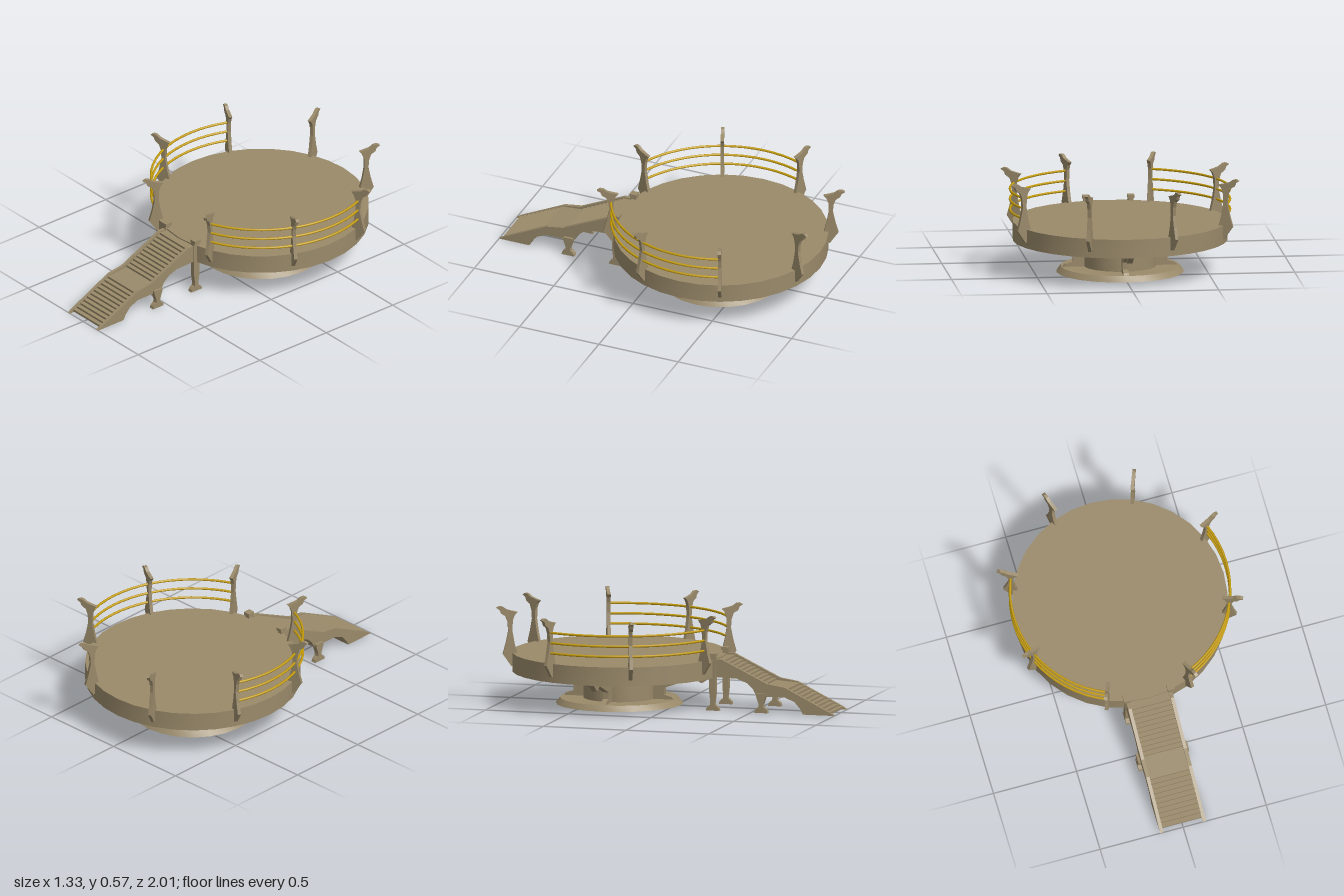
import * as THREE from 'three';
import { toCreasedNormals } from 'three/addons/utils/BufferGeometryUtils.js';

const stone = new THREE.MeshStandardMaterial({ color: 0x9a8a6a });
stone.name = 'sandstone';
const gold = new THREE.MeshStandardMaterial({ color: 0xc49c0c });
gold.name = 'gold';

// Flat outline extruded and centred on its thickness
function slab(points, thickness) {
  const shape = new THREE.Shape(points.map(([a, b]) => new THREE.Vector2(a, b)));
  const geo = new THREE.ExtrudeGeometry(shape, { depth: thickness, bevelEnabled: false });
  return geo.translate(0, 0, -thickness / 2);
}

// Outline drawn in (z, y), thickness along x
const sideSlab = (points, thickness) => slab(points, thickness).rotateY(-Math.PI / 2);

function add(parent, name, geo, material = stone) {
  const mesh = new THREE.Mesh(geo, material);
  mesh.name = name;
  parent.add(mesh);
  return mesh;
}

function createPlatform() {
  const platform = new THREE.Group();
  platform.name = 'platform';
  platform.position.z = -0.34;

  const deck = new THREE.CylinderGeometry(0.624, 0.624, 0.11, 32).translate(0, 0.245, 0);
  add(platform, 'deck', toCreasedNormals(deck, 0.5));

  // Hollow column on a flared foot ring
  const profile = [[0.2, 0], [0.37, 0], [0.345, 0.033], [0.21, 0.033], [0.21, 0.192], [0.2, 0.192], [0.2, 0]];
  const pedestal = new THREE.LatheGeometry(profile.map(([r, y]) => new THREE.Vector2(r, y)), 24);
  add(platform, 'pedestal', toCreasedNormals(pedestal, 0.5));

  // Four brackets under the deck
  const bracket = slab([
    [0.2, 0.03], [0.335, 0.03], [0.32, 0.048], [0.275, 0.06], [0.275, 0.1],
    [0.45, 0.162], [0.5, 0.137], [0.578, 0.185], [0.578, 0.193], [0.2, 0.193],
  ], 0.032);
  for (let i = 0; i < 4; i++) {
    add(platform, 'bracket', bracket).rotation.y = i * Math.PI / 2;
  }

  // Eight carved posts with hooked tips
  const post = slab([
    [0.595, 0.295], [0.62, 0.295], [0.62, 0.225], [0.632, 0.225], [0.68, 0.295],
    [0.662, 0.36], [0.648, 0.43], [0.652, 0.48], [0.664, 0.515], [0.69, 0.532],
    [0.698, 0.553], [0.718, 0.565], [0.7, 0.575], [0.68, 0.572], [0.658, 0.556],
    [0.63, 0.548], [0.595, 0.54], [0.612, 0.52], [0.622, 0.49], [0.624, 0.43], [0.612, 0.36],
  ], 0.02);
  for (let i = 0; i < 8; i++) {
    add(platform, 'railPost', post).rotation.y = (i + 0.5) * Math.PI / 4;
  }

  // Three curved rails on each side, from the front post to the rear side post
  for (const side of [1, -1]) {
    for (const y of [0.365, 0.425, 0.485]) {
      const points = [];
      for (let i = 0; i <= 12; i++) {
        const a = Math.PI / 8 + (i / 12) * Math.PI / 2;
        points.push(new THREE.Vector3(side * 0.638 * Math.sin(a), y, 0.638 * Math.cos(a)));
      }
      const path = new THREE.CatmullRomCurve3(points);
      add(platform, 'rail', new THREE.TubeGeometry(path, 16, 0.007, 8), gold);
    }
  }
  return platform;
}

function createRamp() {
  const ramp = new THREE.Group();
  ramp.name = 'ramp';

  // Arched underside shared by the side boards and the stair core
  const arch = [
    [0.81, 0], [0.795, 0.03], [0.76, 0.07], [0.7, 0.095], [0.53, 0.095],
    [0.505, 0.14], [0.47, 0.17], [0.41, 0.193], [0.26, 0.197],
  ];

  // Side boards
  const board = sideSlab([
    [0.26, 0.3], [0.32, 0.3], [0.595, 0.168], [0.7, 0.152], [0.97, 0.018], [1, 0], ...arch,
  ], 0.02);
  for (const side of [1, -1]) add(ramp, 'sideBoard', board).position.x = side * 0.128;

  // Stair core: two flights of steps and a landing
  const steps = [[0.26, 0.292]];
  const flight = (z0, y0, z1, y1, n) => {
    for (let i = 0; i < n; i++) {
      const z = z0 + (z1 - z0) * (i + 1) / n;
      steps.push([z, y0 + (y1 - y0) * i / n], [z, y0 + (y1 - y0) * (i + 1) / n]);
    }
  };
  flight(0.3, 0.292, 0.575, 0.155, 11);
  flight(0.69, 0.145, 0.975, 0.006, 11);
  add(ramp, 'stairs', sideSlab([...steps, [0.965, 0], [0.83, 0.055], ...arch], 0.238));

  // Legs with clawed feet; the rear pair rises into newel posts
  const legOutline = (top, half) => {
    const right = [
      [0.04, 0], [0.036, 0.016], [0.022, 0.03], [0.015, 0.032], [0.013, 0.05], [half, 0.1], [half, top],
    ];
    return [...right, ...right.map(([z, y]) => [-z, y]).reverse()];
  };
  const frontLeg = sideSlab(legOutline(0.115, 0.03), 0.03);
  const rearLeg = sideSlab(legOutline(0.318, 0.019), 0.028);
  const cap = new THREE.BoxGeometry(0.04, 0.018, 0.045);
  for (const side of [1, -1]) {
    add(ramp, 'frontLeg', frontLeg).position.set(side * 0.138, 0, 0.56);
    add(ramp, 'rearLeg', rearLeg).position.set(side * 0.131, 0, 0.265);
    add(ramp, 'newelCap', cap).position.set(side * 0.131, 0.325, 0.262);
  }
  return ramp;
}

export function createModel() {
  const model = new THREE.Group();
  model.name = 'raisedPlatform';
  model.add(createPlatform(), createRamp());
  return model;
}
